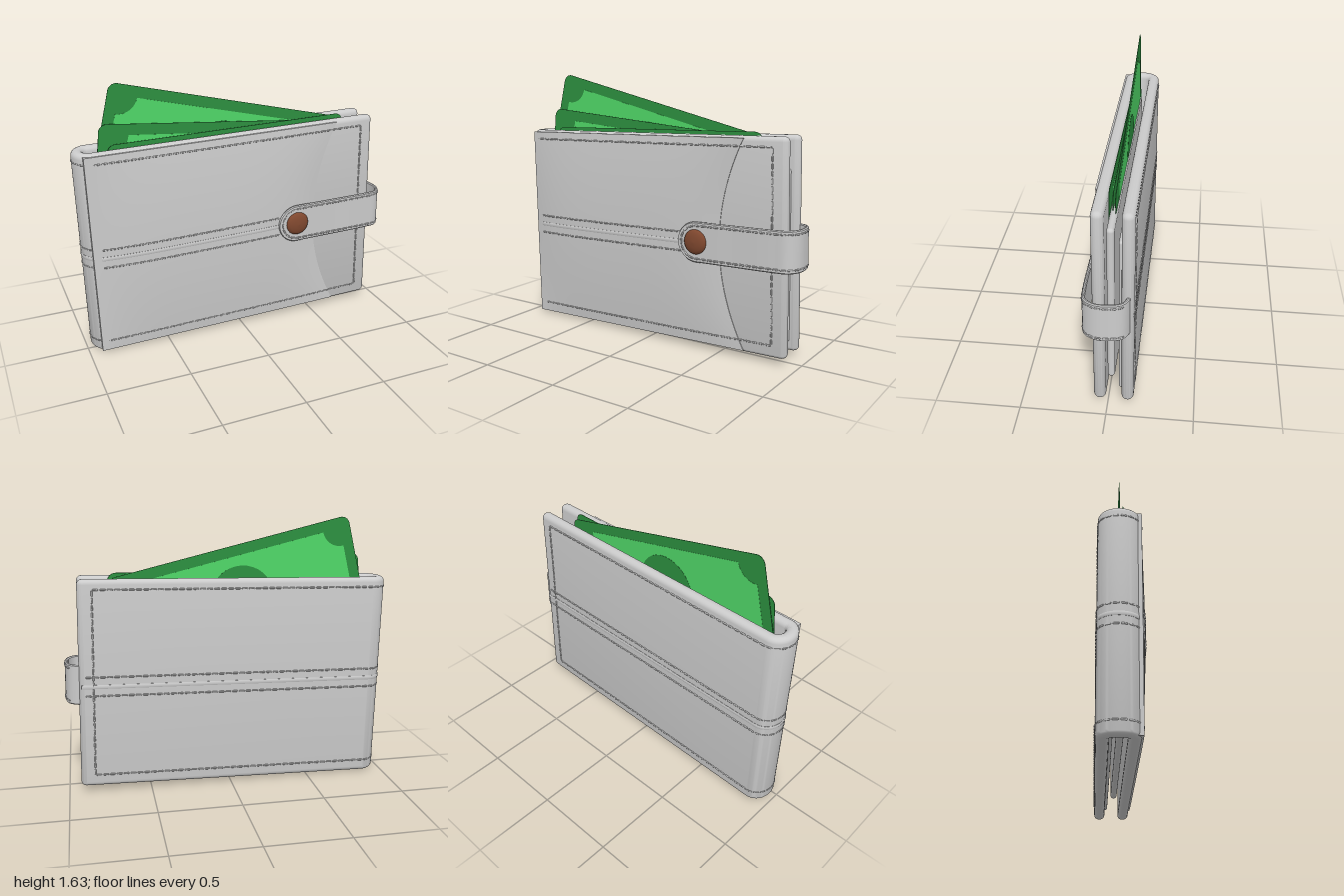
import * as THREE from 'three';
import { mergeGeometries, toCreasedNormals } from 'three/addons/utils/BufferGeometryUtils.js';
import { RoundedBoxGeometry } from 'three/addons/geometries/RoundedBoxGeometry.js';

const mat = (color) => new THREE.MeshStandardMaterial({ color, side: THREE.DoubleSide });
const leather = mat(0xcccccc), brown = mat(0x80482f), darkGreen = mat(0x2d9040), lightGreen = mat(0x50d868);
const V = (x, y, z) => new THREE.Vector3(x, y, z);
const BOTTOM = 0.03, HEIGHT = 1.27, SPINE = -0.885, MID = 0.665;

function add(group, name, geometry, material = leather) {
  const mesh = new THREE.Mesh(geometry, material);
  mesh.name = name;
  group.add(mesh);
  return mesh;
}

// Front flap: curved right edge and a soft bulge
const flapEdge = (s) => 0.495 + 0.165 * s * s;
function frontZ(x, y) {
  const s = ((y - BOTTOM) / HEIGHT) * 2 - 1;
  const u = (x + 0.94) / (flapEdge(s) + 0.94);
  if (u < 0 || u > 1) return 0.08;
  return 0.084 + 0.033 * (1 - s * s) * (1 - (2 * u - 1) ** 4);
}

// Folded cover: U-shaped section with rounded edges
function coverGeometry() {
  const b = 0.03, end = 0.88, h = Math.PI / 2;
  const u = new THREE.Shape();
  u.moveTo(end, -0.05);
  u.lineTo(SPINE, -0.05);
  u.absellipse(SPINE, 0.035, 0.07, 0.085, -h, -3 * h, true);
  u.lineTo(end, 0.12);
  u.absarc(end, 0.115, 0.005, h, -h, true);
  u.lineTo(SPINE, 0.11);
  u.absellipse(SPINE, 0.035, 0.06, 0.075, h, 3 * h, false);
  u.lineTo(end, -0.04);
  u.absarc(end, -0.045, 0.005, h, -h, true);
  const geo = new THREE.ExtrudeGeometry(u, {
    depth: HEIGHT - 2 * b, bevelSize: b, bevelThickness: b, bevelSegments: 5, curveSegments: 14,
  });
  geo.rotateX(-Math.PI / 2).translate(0, BOTTOM + b, 0);
  return toCreasedNormals(geo, 0.8);
}

function flapGeometry() {
  const n = 34, geo = new THREE.PlaneGeometry(1, 1, n, n), p = geo.attributes.position;
  const clamp = (i) => Math.min(Math.max((i - 1) / (n - 2), 0), 1);
  for (let k = 0; k < p.count; k++) {
    const i = k % (n + 1), j = Math.floor(k / (n + 1));
    const rim = i === 0 || j === 0 || i === n || j === n;
    const y = 1.288 - 1.246 * clamp(j);
    const s = ((y - BOTTOM) / HEIGHT) * 2 - 1;
    const x = -0.938 + (flapEdge(s) + 0.937) * clamp(i);
    p.setXYZ(k, x, y, rim ? 0.05 : frontZ(x, y));
  }
  return toCreasedNormals(geo, 0.7);
}

// Strip with a chamfered section, following points in the xz plane
function stripGeometry(points, y, halfHeight, t) {
  const pos = [], idx = [], n = 8;
  points.forEach((p, i) => {
    const a = points[Math.max(i - 1, 0)], b = points[Math.min(i + 1, points.length - 1)];
    const d = b.clone().sub(a).normalize();
    const h = halfHeight(i), g = Math.max(h - 0.006, 0);
    const ring = [[h, 0.4], [g, 1], [-g, 1], [-h, 0.4], [-h, -0.4], [-g, -1], [g, -1], [h, -0.4]];
    for (const [dy, k] of ring) pos.push(p.x + d.z * t * k, y + dy, p.z - d.x * t * k);
    if (i === 0) return;
    for (let q = 0; q < n; q++) {
      const r = (q + 1) % n, A = (i - 1) * n, B = i * n;
      idx.push(A + q, B + r, A + r, A + q, B + q, B + r);
    }
  });
  const geo = new THREE.BufferGeometry();
  geo.setAttribute('position', new THREE.Float32BufferAttribute(pos, 3));
  geo.setIndex(idx);
  return toCreasedNormals(geo, 0.6);
}

// Line on the outside of the cover: front, round the spine, then the back
function wrapLine(y, frontEnd, backEnd) {
  const pts = [];
  for (let i = 0; i <= 40; i++) {
    const x = THREE.MathUtils.lerp(frontEnd, SPINE, i / 40);
    pts.push(V(x, y, frontZ(x, y)));
  }
  for (let i = 1; i <= 16; i++) {
    const a = (Math.PI * i) / 16;
    pts.push(V(SPINE - 0.1 * Math.sin(a), y, -0.035 + 0.115 * Math.cos(a)));
  }
  pts.push(V(backEnd, y, -0.15));
  return pts;
}

// Row of small thread dashes along a line
function stitches(points) {
  const path = new THREE.CurvePath();
  for (let i = 1; i < points.length; i++) path.add(new THREE.LineCurve3(points[i - 1], points[i]));
  const n = Math.round(path.getLength() / 0.042), dashes = [];
  for (let i = 0; i < n; i++) {
    const a = path.getPointAt((i + 0.1) / n), b = path.getPointAt((i + 0.9) / n);
    const q = new THREE.Quaternion().setFromUnitVectors(V(0, 1, 0), b.clone().sub(a).normalize());
    const c = a.add(b).multiplyScalar(0.5);
    dashes.push(new THREE.CapsuleGeometry(0.0055, 0.024, 2, 5).applyQuaternion(q).translate(c.x, c.y, c.z));
  }
  return mergeGeometries(dashes);
}

// Banknote placed by its top left corner
function banknote(name, x, y, z, angle) {
  const L = 1.52, H = 0.65, r = 0.05, m = 0.065, c = 0.11;
  const outline = new THREE.Shape(), frame = new THREE.Shape();
  const corners = [[L, 0, -1, -1], [0, 0, 1, -1], [0, -H, 1, 1], [L, -H, -1, 1]];
  corners.forEach(([cx, cy, sx, sy], i) => {
    const a = (i * Math.PI) / 2;
    outline.absarc(cx + sx * r, cy + sy * r, r, a, a + Math.PI / 2, false);
    frame.absarc(cx + sx * m, cy + sy * m, c, a + 1.5 * Math.PI, a + Math.PI, true);
  });
  const sheet = (shape, t) =>
    new THREE.ExtrudeGeometry(shape, { depth: t, bevelEnabled: false, curveSegments: 8 }).translate(0, 0, -t / 2);
  const note = new THREE.Group();
  note.name = name;
  add(note, 'noteBorder', sheet(outline, 0.003), darkGreen);
  add(note, 'noteField', sheet(frame, 0.005), lightGreen);
  const oval = new THREE.CylinderGeometry(0.2, 0.2, 0.007, 32).rotateX(Math.PI / 2).translate(L / 2, -H / 2, 0);
  add(note, 'noteOval', oval, darkGreen);
  note.position.set(x, y, z);
  note.rotation.z = THREE.MathUtils.degToRad(angle);
  return note;
}

export function createModel() {
  const model = new THREE.Group();
  model.name = 'wallet';
  const body = new THREE.Group();
  body.name = 'walletBody';
  model.add(body);

  add(body, 'cover', coverGeometry());
  add(body, 'frontFlap', flapGeometry());

  // Inner pockets
  add(body, 'frontPocket', new RoundedBoxGeometry(1.72, 1.01, 0.042, 4, 0.02)).position.set(0.01, 0.675, -0.018);
  add(body, 'backPocket', new RoundedBoxGeometry(1.74, 1.02, 0.03, 4, 0.014)).position.set(0.0, 0.6, -0.077);

  // Raised seam round the middle
  const seam = wrapLine(0.662, 0.4, 0.9);
  add(body, 'middleSeam', stripGeometry(seam, 0.662, () => 0.012, 0.004));

  // Cover stitching
  for (const y of [0.105, 1.242]) add(body, 'edgeStitching', stitches(wrapLine(y, 0.83, 0.83)));
  for (const y of [0.605, 0.72]) add(body, 'middleStitching', stitches(wrapLine(y, 0.25, 0.88)));
  for (const z of [0.08, -0.15]) add(body, 'sideStitching', stitches([V(0.83, 0.105, z), V(0.83, 1.242, z)]));

  // Closing strap from the back, round the open side, to a round tip
  const strapY = 0.67, tipX = 0.36, R = 0.122, T = 0.009;
  const bend = new THREE.CatmullRomCurve3([
    V(0.84, 0, -0.115), V(0.91, 0, -0.12), V(0.965, 0, -0.09), V(0.985, 0, -0.02),
    V(0.98, 0, 0.06), V(0.94, 0, 0.114), V(0.86, 0, 0.124), V(0.6, 0, 0.124), V(tipX, 0, 0.123),
  ]).getSpacedPoints(60);
  const path = [...bend], half = bend.map(() => R);
  for (let i = 1; i <= 14; i++) {
    const a = (Math.PI / 2) * (i / 14);
    path.push(V(tipX - R * Math.sin(a), 0, 0.123));
    half.push(Math.max(R * Math.cos(a), 0.001));
  }
  add(body, 'strap', stripGeometry(path, strapY, (i) => half[i], T));

  // Strap stitching follows both edges and the tip
  const row = (dy) => bend.slice(8).map((p, i) => {
    const d = bend[Math.min(i + 9, 60)].clone().sub(bend[i + 7]).normalize();
    return V(p.x + d.z * T, strapY + dy, p.z - d.x * T);
  });
  const tip = [];
  for (let i = 1; i < 12; i++) {
    const a = (Math.PI * i) / 12;
    tip.push(V(tipX - 0.1 * Math.sin(a), strapY + 0.1 * Math.cos(a), 0.123 + T));
  }
  add(body, 'strapStitching', stitches([...row(0.1), ...tip, ...row(-0.1).reverse()]));

  // Domed snap button
  const dome = [[0, 0.032], [0.03, 0.03], [0.055, 0.024], [0.07, 0.015], [0.075, 0.006], [0.073, 0]];
  const button = new THREE.LatheGeometry(dome.map(([x, y]) => new THREE.Vector2(x, y)).reverse(), 32);
  add(body, 'snapButton', button.rotateX(Math.PI / 2), brown).position.set(tipX, 0.673, 0.128);

  // The whole wallet leans slightly
  body.rotation.z = 0.021;
  body.position.x = MID * Math.sin(0.021);

  // Banknotes fanned out of the top
  model.add(banknote('tallBanknote', -0.755, 1.655, -0.03, -13.5));
  model.add(banknote('middleBanknote', -0.835, 1.425, -0.012, -5));
  model.add(banknote('lowBanknote', -0.8, 1.302, 0.004, 1.2));
  return model;
}
